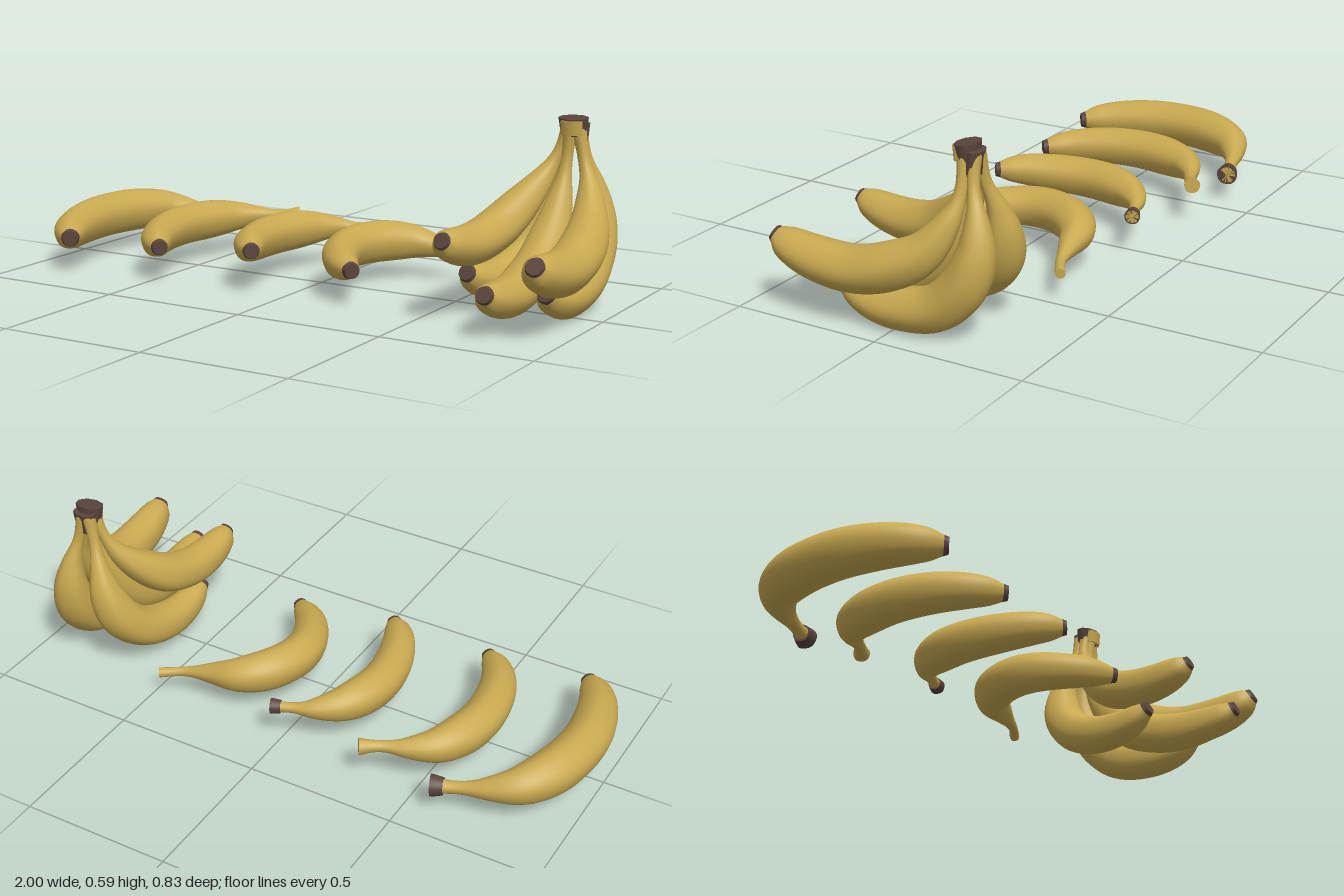
import * as THREE from 'three';

const peel = new THREE.MeshStandardMaterial({ color: 0xc8a950 });
peel.name = 'yellowPeel';
const dark = new THREE.MeshStandardMaterial({ color: 0x5a453c });
dark.name = 'darkBrown';

// Relative thickness from stem end to blossom tip, at equal steps
const profile = new THREE.SplineCurve(
  [0.4, 0.31, 0.28, 0.34, 0.5, 0.68, 0.84, 0.95, 1, 1, 0.99, 0.97, 0.93, 0.87, 0.78, 0.63, 0.34]
    .map((r, i) => new THREE.Vector2(i, r)));

// Closed sweep along part of a curve with a changing, faintly five-sided section
function sweep(curve, radius, ref, u0, u1, rings) {
  const sides = 30, pos = [], idx = [];
  const addRing = (u, collapse) => {
    const c = curve.getPoint(u), t = curve.getTangent(u);
    const b = t.clone().cross(ref).normalize(), n = b.clone().cross(t);
    for (let j = 0; j < sides; j++) {
      const a = j / sides * Math.PI * 2;
      const r = collapse ? 0 : radius(u) * (1 + 0.02 * Math.cos(5 * a));
      const p = c.clone().addScaledVector(n, Math.cos(a) * r).addScaledVector(b, Math.sin(a) * r);
      pos.push(p.x, p.y, p.z);
    }
  };
  const join = (r0, r1) => {
    for (let j = 0; j < sides; j++) {
      const k = (j + 1) % sides;
      const a = r0 * sides + j, b = r0 * sides + k, c = r1 * sides + j, d = r1 * sides + k;
      idx.push(a, b, c, b, d, c);
    }
  };
  for (let i = 0; i <= rings; i++) {
    addRing(u0 + (u1 - u0) * i / rings, false);
    if (i) join(i - 1, i);
  }
  // Flat ends with their own vertices so the rims stay sharp
  addRing(u0, true); addRing(u0, false); join(rings + 1, rings + 2);
  addRing(u1, false); addRing(u1, true); join(rings + 3, rings + 4);
  const g = new THREE.BufferGeometry();
  g.setAttribute('position', new THREE.Float32BufferAttribute(pos, 3));
  g.setIndex(idx);
  g.computeVertexNormals();
  return g;
}

function banana(name, points, r, ref, { cap = 0, stem = 1 } = {}) {
  const group = new THREE.Group();
  group.name = name;
  const curve = new THREE.CatmullRomCurve3(points.map(p => new THREE.Vector3(...p)), false, 'catmullrom', 0.5);
  const radius = u => r * profile.getPoint(u).y * THREE.MathUtils.lerp(stem, 1, Math.min(1, u / 0.2));
  const add = (part, mat, ...args) => {
    const m = new THREE.Mesh(sweep(curve, ...args), mat);
    m.name = part;
    group.add(m);
  };
  add('peel', peel, radius, ref, 0, 0.982, 56);
  add('blossomTip', dark, u => radius(u) * 1.01, ref, 0.982, 1, 3);
  if (cap) add('stemCap', dark, u => radius(u) * cap, ref, 0, 0.06, 4);
  return group;
}

// Loose bananas: [x, z] centre line from stem to tip, with heights for stem, body and tip
const loose = [
  { r: 0.075, y: [0.1, 0.135, 0.125], cap: 1.25, stem: 0.95,
    path: [[-0.58, -0.385], [-0.66, -0.36], [-0.75, -0.33], [-0.84, -0.27], [-0.9, -0.15], [-0.922, 0], [-0.905, 0.13], [-0.865, 0.24], [-0.8, 0.325]] },
  { r: 0.068, y: [0.14, 0.133, 0.125], cap: 0, stem: 1,
    path: [[-0.32, -0.375], [-0.38, -0.337], [-0.455, -0.3], [-0.53, -0.235], [-0.575, -0.13], [-0.588, -0.02], [-0.57, 0.1], [-0.525, 0.205], [-0.452, 0.288]] },
  { r: 0.067, y: [0.135, 0.138, 0.15], cap: 1.2, stem: 0.8,
    path: [[0.03, -0.33], [-0.035, -0.305], [-0.1, -0.275], [-0.165, -0.21], [-0.205, -0.12], [-0.217, -0.02], [-0.2, 0.09], [-0.16, 0.19], [-0.1, 0.27]] },
  { r: 0.069, y: [0.095, 0.133, 0.12], cap: 0, stem: 0.6,
    path: [[0.475, -0.318], [0.4, -0.277], [0.31, -0.255], [0.215, -0.23], [0.14, -0.16], [0.1, -0.06], [0.107, 0.04], [0.163, 0.15], [0.255, 0.235]] },
];

// Bunch: full centre lines from crown to tip
const bunchBananas = [
  ['upperLeftBanana', 0.074, [[0.815, 0.575, -0.205], [0.84, 0.46, -0.205], [0.87, 0.37, -0.18], [0.9, 0.272, -0.11], [0.922, 0.215, 0], [0.93, 0.187, 0.12], [0.935, 0.194, 0.24], [0.94, 0.217, 0.33], [0.945, 0.25, 0.393]]],
  ['upperRightBanana', 0.068, [[0.785, 0.575, -0.205], [0.758, 0.49, -0.2], [0.722, 0.41, -0.17], [0.68, 0.33, -0.1], [0.643, 0.265, -0.01], [0.625, 0.237, 0.09], [0.615, 0.235, 0.18], [0.61, 0.25, 0.26], [0.61, 0.275, 0.323]]],
  ['middleBanana', 0.07, [[0.795, 0.575, -0.195], [0.785, 0.46, -0.195], [0.78, 0.36, -0.17], [0.777, 0.25, -0.11], [0.775, 0.16, -0.02], [0.775, 0.117, 0.09], [0.78, 0.104, 0.2], [0.785, 0.116, 0.31], [0.79, 0.148, 0.4]]],
  ['lowerLeftBanana', 0.072, [[0.81, 0.565, -0.23], [0.83, 0.47, -0.24], [0.85, 0.38, -0.262], [0.862, 0.28, -0.265], [0.87, 0.18, -0.227], [0.877, 0.1, -0.14], [0.883, 0.073, -0.02], [0.888, 0.08, 0.09], [0.89, 0.12, 0.19]]],
  ['lowerRightBanana', 0.07, [[0.787, 0.565, -0.23], [0.765, 0.47, -0.24], [0.735, 0.38, -0.262], [0.71, 0.29, -0.265], [0.68, 0.2, -0.235], [0.648, 0.13, -0.16], [0.628, 0.097, -0.05], [0.617, 0.104, 0.06], [0.61, 0.145, 0.155]]],
];

export function createModel() {
  const model = new THREE.Group();
  model.name = 'bananas';

  const up = new THREE.Vector3(0, 1, 0), across = new THREE.Vector3(1, 0, 0);
  loose.forEach(({ r, y, path, cap, stem }, i) => {
    const pts = path.map(([x, z], k) => {
      const h = k < 4 ? THREE.MathUtils.lerp(y[0], y[1], THREE.MathUtils.smoothstep(k, 0, 4))
        : THREE.MathUtils.lerp(y[1], y[2], THREE.MathUtils.smoothstep(k, 5, 8));
      return [x, h, z];
    });
    model.add(banana('looseBanana' + (i + 1), pts, r, up, { cap, stem }));
  });

  const bunch = new THREE.Group();
  bunch.name = 'bunch';
  for (const [name, r, pts] of bunchBananas) bunch.add(banana(name, pts, r, across, { stem: 0.85 }));

  // Crown: dark cut lumps at the top and back, a peel-coloured pad in front
  const lump = (name, mat, rTop, rBottom, h, x, y, z, sx, sz, tilt) => {
    const m = new THREE.Mesh(new THREE.CylinderGeometry(rTop, rBottom, h, 9), mat);
    m.name = name;
    m.position.set(x, y, z);
    m.scale.set(sx, 1, sz);
    m.rotation.x = tilt;
    bunch.add(m);
  };
  lump('crownTop', dark, 0.04, 0.034, 0.055, 0.8, 0.567, -0.207, 1.25, 0.95, 0.1);
  lump('crownBack', dark, 0.03, 0.027, 0.075, 0.803, 0.54, -0.23, 1.4, 0.75, -0.12);
  lump('crownFront', peel, 0.03, 0.03, 0.045, 0.802, 0.565, -0.186, 1.25, 0.7, 0.1);
  model.add(bunch);
  return model;
}
